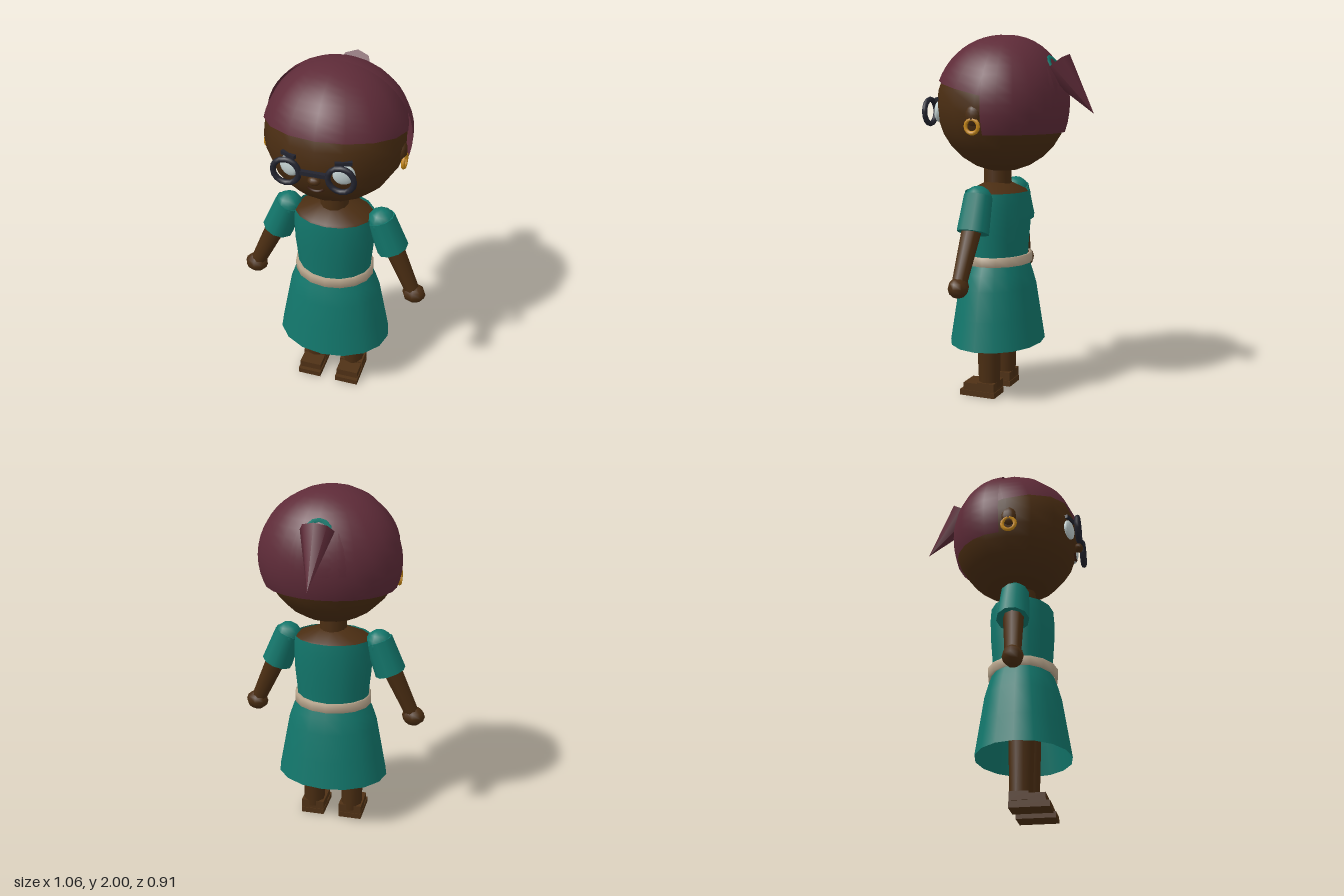
import * as THREE from 'three';

const mat = (name, color, side = THREE.FrontSide) => {
  const m = new THREE.MeshStandardMaterial({ color, side });
  m.name = name;
  return m;
};

export function createModel() {
  const model = new THREE.Group();
  model.name = 'girl';
  const skin = mat('brown skin', 0x4a2d12);
  const hair = mat('plum hair', 0x5e2b38, THREE.DoubleSide);
  const cloth = mat('teal cloth', 0x12766b, THREE.DoubleSide);
  const beige = mat('beige belt', 0xb8a58c);
  const frame = mat('dark frames', 0x23242f);
  const gold = mat('gold', 0xc98a18);
  const white = mat('eye white', 0xc4d2d2);
  const leather = mat('brown leather', 0x4f3115);
  const lip = mat('lip brown', 0x3c1f10);

  const add = (name, geometry, material, x = 0, y = 0, z = 0, parent = model) => {
    const mesh = new THREE.Mesh(geometry, material);
    mesh.name = name;
    mesh.position.set(x, y, z);
    parent.add(mesh);
    return mesh;
  };
  const UP = new THREE.Vector3(0, 1, 0);
  // Tapered round limb running from point a to point b
  const limb = (name, a, b, ra, rb, material, sides = 10) => {
    const p = new THREE.Vector3(...a), q = new THREE.Vector3(...b);
    const dir = q.clone().sub(p);
    const mesh = add(name, new THREE.CylinderGeometry(rb, ra, dir.length(), sides), material);
    mesh.position.copy(p).add(q).multiplyScalar(0.5);
    mesh.quaternion.setFromUnitVectors(UP, dir.normalize());
    return mesh;
  };
  // Turned profile of [radius, height] pairs, flattened front to back
  const turned = (name, profile, material, depth) => {
    const points = profile.map(([r, y]) => new THREE.Vector2(r, y));
    const mesh = add(name, new THREE.LatheGeometry(points, 16), material, 0, 0, 0.1);
    mesh.scale.z = depth;
    return mesh;
  };

  // Head and neck
  const HY = 1.62, HZ = 0.07;
  add('head', new THREE.SphereGeometry(1, 16, 14), skin, 0, HY, HZ).scale.set(0.37, 0.362, 0.358);
  add('neck', new THREE.CylinderGeometry(0.075, 0.08, 0.2, 12), skin, 0, 1.23, 0.1);

  // Hair: a tilted cap, and a longer half shell behind
  const cap = add('hairCap', new THREE.SphereGeometry(1, 16, 12, 0, Math.PI * 2, 0, 1.405), hair, 0, HY, HZ);
  cap.scale.set(0.378, 0.38, 0.37);
  cap.rotation.x = -0.215;
  const back = new THREE.SphereGeometry(1, 12, 14, Math.PI, Math.PI, 0, 1.963);
  add('hairBack', back, hair, 0, HY, 0.03).scale.set(0.392, 0.378, 0.325);

  // Ponytail cone with its tie
  const tailDir = new THREE.Vector3(0, -0.256, -0.2075).normalize();
  const tail = add('ponytail', new THREE.ConeGeometry(0.09, 0.33, 8), hair, 0, 1.836, -0.2475);
  tail.position.addScaledVector(tailDir, 0.165);
  tail.quaternion.setFromUnitVectors(UP, tailDir);
  const tie = add('hairTie', new THREE.TorusGeometry(0.06, 0.02, 6, 12), cloth, 0, 1.82, -0.228);
  tie.rotation.x = 0.59;

  // Nose, mouth and the bridge of the glasses
  add('nose', new THREE.SphereGeometry(1, 10, 8), skin, 0, 1.545, 0.43).scale.set(0.034, 0.024, 0.026);
  const mouth = add('mouth', new THREE.TorusGeometry(0.06, 0.007, 5, 10, 1.6), lip, 0, 1.532, 0.41);
  mouth.rotation.z = -Math.PI / 2 - 0.8;
  add('glassesBridge', new THREE.BoxGeometry(0.13, 0.022, 0.022), frame, 0, 1.593, 0.443);

  // Dress, belt and bare shoulders
  turned('shoulders', [[0.222, 1.13], [0.205, 1.15], [0.08, 1.2], [0, 1.2]], skin, 0.76);
  turned('bodice', [[0.205, 0.77], [0.212, 0.86], [0.222, 0.96], [0.226, 1.08], [0.22, 1.15]], cloth, 0.79);
  turned('skirt', [[0.322, 0.3], [0.292, 0.46], [0.262, 0.62], [0.235, 0.7], [0.205, 0.77]], cloth, 0.8);
  turned('belt', [[0.2, 0.75], [0.222, 0.75], [0.222, 0.8], [0.2, 0.8]], beige, 0.86);

  for (const s of [1, -1]) {
    const side = s > 0 ? 'left' : 'right';

    // Eyes, brows and round glasses
    const eye = add(side + 'Eye', new THREE.SphereGeometry(1, 14, 10), white, s * 0.14, 1.585, 0.392);
    eye.scale.set(0.056, 0.056, 0.022);
    eye.rotation.y = s * 0.3;
    const brow = add(side + 'Brow', new THREE.BoxGeometry(0.085, 0.02, 0.022), frame, s * 0.14, 1.652, 0.397);
    brow.rotation.y = s * 0.4;
    add(side + 'GlassesRim', new THREE.TorusGeometry(0.067, 0.015, 8, 16), frame, s * 0.14, 1.585, 0.443);

    // Ears and hoop earrings
    add(side + 'Ear', new THREE.SphereGeometry(1, 10, 8), skin, s * 0.355, 1.575, 0.085).scale.set(0.025, 0.055, 0.042);
    add(side + 'Earring', new THREE.TorusGeometry(0.036, 0.011, 6, 14), gold, s * 0.368, 1.52, 0.085).rotation.y = Math.PI / 2;

    // Sleeves, arms and hands
    add(side + 'ShoulderPuff', new THREE.SphereGeometry(0.077, 10, 8), cloth, s * 0.262, 1.125, 0.1);
    limb(side + 'Sleeve', [s * 0.33, 0.957, 0.1], [s * 0.258, 1.145, 0.1], 0.088, 0.078, cloth);
    limb(side + 'Arm', [s * 0.458, 0.7, 0.122], [s * 0.3, 1.05, 0.1], 0.042, 0.06, skin, 8);
    add(side + 'Hand', new THREE.SphereGeometry(1, 8, 6), skin, s * 0.465, 0.687, 0.122).scale.set(0.066, 0.056, 0.056);

    // Legs and shoes
    limb(side + 'Leg', [s * 0.115, 0.05, 0.103], [s * 0.115, 0.62, 0.11], 0.06, 0.075, skin);
    add(side + 'Sole', new THREE.BoxGeometry(0.136, 0.032, 0.21), leather, s * 0.114, 0.016, 0.152);
    add(side + 'ShoeUpper', new THREE.BoxGeometry(0.126, 0.046, 0.185), leather, s * 0.114, 0.05, 0.143);
    add(side + 'AnkleStrap', new THREE.BoxGeometry(0.136, 0.046, 0.1), leather, s * 0.114, 0.06, 0.1);
  }
  return model;
}
